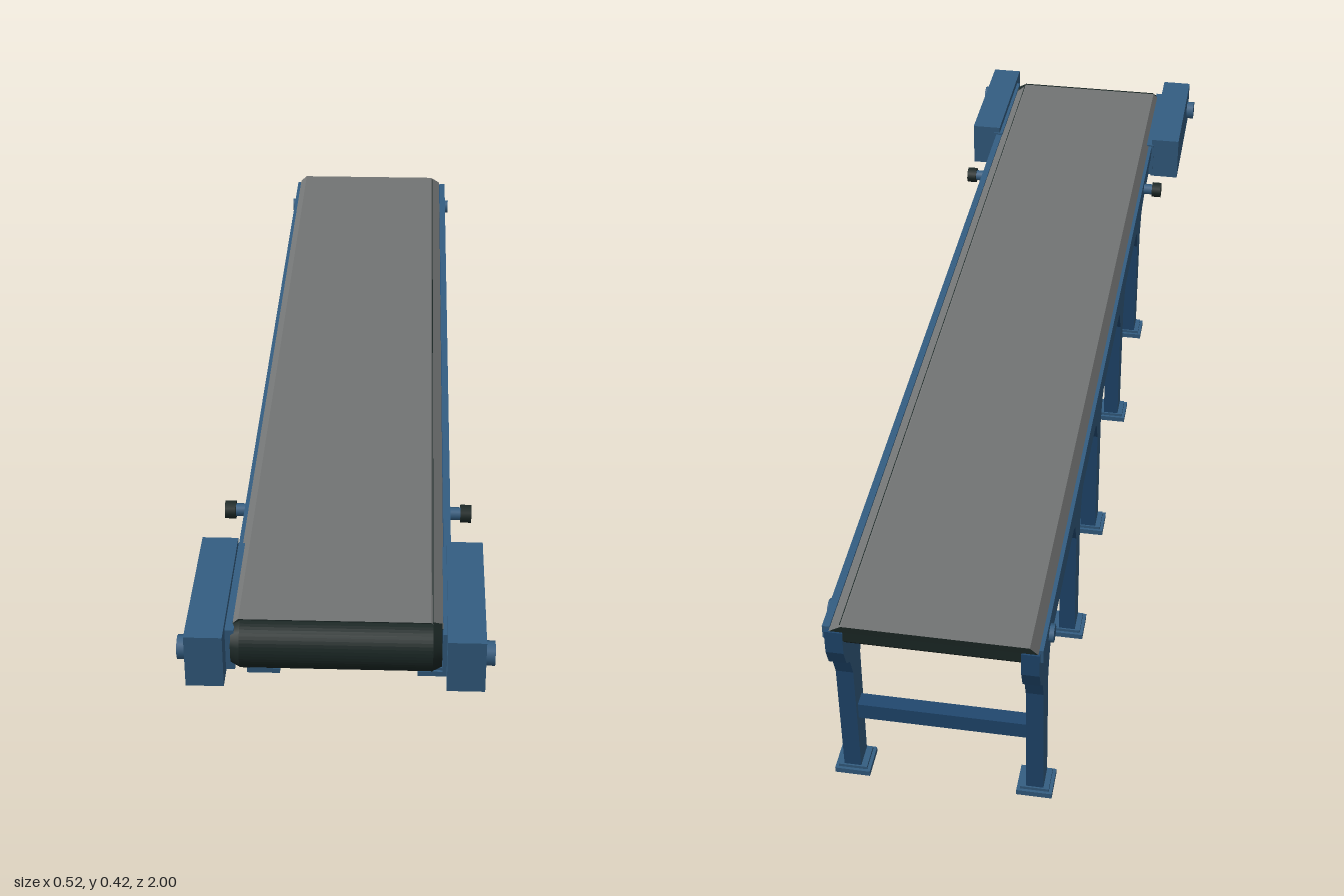
import * as THREE from 'three';

export function createModel() {
  const model = new THREE.Group();
  model.name = 'beltConveyor';
  const material = (name, color) => {
    const m = new THREE.MeshStandardMaterial({ color });
    m.name = name;
    return m;
  };
  const blue = material('paintedSteelBlue', 0x345e82);
  const deepBlue = material('deepSteelBlue', 0x20486f);
  const grey = material('beltGrey', 0x727474);
  const dark = material('rubberDark', 0x1b2725);

  const add = (name, geometry, mat, x = 0, y = 0, z = 0) => {
    const mesh = new THREE.Mesh(geometry, mat);
    mesh.name = name;
    mesh.position.set(x, y, z);
    model.add(mesh);
    return mesh;
  };
  // box given by its lower and upper limits
  const box = (name, mat, x0, x1, y0, y1, z0, z1) => add(name,
    new THREE.BoxGeometry(x1 - x0, y1 - y0, z1 - z0), mat,
    (x0 + x1) / 2, (y0 + y1) / 2, (z0 + z1) / 2);
  // side profile (drawn with -z to the right) swept across x
  const sweep = (name, mat, shape, x0, x1) => {
    const geo = new THREE.ExtrudeGeometry(shape,
      { depth: x1 - x0, bevelEnabled: false, curveSegments: 12 });
    geo.rotateY(Math.PI / 2);
    return add(name, geo, mat, x0, 0, 0);
  };

  const legs = [0.51, 0.18, -0.21, -0.52, -0.925];

  // side frame: rail with flared legs in one profile
  const frame = new THREE.Shape();
  frame.moveTo(-0.93, 0.397);
  frame.lineTo(-0.93, 0.33);
  frame.lineTo(-0.62, 0.323);
  for (const z of legs) {
    const c = -z, last = z < -0.9;
    frame.lineTo(c - 0.064, 0.314);
    frame.lineTo(c - 0.046, 0.302);
    frame.lineTo(c - 0.026, 0.258);
    frame.lineTo(c - 0.022, 0.01);
    frame.lineTo(c + 0.022, 0.01);
    frame.lineTo(c + 0.026, 0.258);
    if (last) {
      frame.lineTo(c + 0.04, 0.298);
      frame.lineTo(0.985, 0.315);
    } else {
      frame.lineTo(c + 0.046, 0.302);
      frame.lineTo(c + 0.064, 0.314);
    }
  }
  frame.lineTo(0.998, 0.35);
  frame.lineTo(0.998, 0.397);
  frame.closePath();

  for (const s of [-1, 1]) {
    const side = s > 0 ? 'left' : 'right';
    const span = (a, b) => (s > 0 ? [a, b] : [-b, -a]);
    sweep(side + 'Frame', [blue, deepBlue], frame, ...span(0.151, 0.182));
    box(side + 'RailLip', blue, ...span(0.174, 0.187), 0.375, 0.402, -0.99, 0.72);

    // drive housing at the front with its bracket and shaft end
    const shift = s > 0 ? -0.008 : 0;
    box(side + 'DriveHousing', blue, ...span(0.187 + shift, 0.25 + shift), 0.322, 0.419, 0.703, 1);
    box(side + 'HousingBracket', blue, ...span(0.172, 0.192), 0.327, 0.406, 0.7, 0.96);
    const shaft = add(side + 'ShaftEnd', new THREE.CylinderGeometry(0.021, 0.021, 0.026, 8),
      blue, s * (0.253 + shift), 0.369, 0.957);
    shaft.rotation.z = Math.PI / 2;

    // tensioner knob on the rail
    const stem = add(side + 'KnobStem', new THREE.CylinderGeometry(0.012, 0.012, 0.03, 8),
      blue, s * 0.195, 0.378, 0.545);
    const knob = add(side + 'Knob', new THREE.CylinderGeometry(0.017, 0.017, 0.02, 10),
      dark, s * 0.216, 0.378, 0.545);
    // bolt at the tail roller
    const bolt = add(side + 'TailBolt', new THREE.CylinderGeometry(0.016, 0.016, 0.014, 8),
      blue, s * 0.188, 0.372, -0.915);
    for (const m of [stem, knob, bolt]) m.rotation.z = Math.PI / 2;

    // stepped feet
    for (const z of legs) {
      box(side + 'Foot', blue, ...span(0.134, 0.198), 0, 0.011, z - 0.03, z + 0.03);
      box(side + 'FootStep', blue, ...span(0.14, 0.192), 0.011, 0.017, z - 0.025, z + 0.025);
    }
  }

  // cross bars between the leg pairs
  for (const z of legs) box('crossBar', deepBlue, -0.155, 0.155, 0.133, 0.166, z - 0.014, z + 0.014);

  // belt loop: full roller at the front, thin bed behind it
  const loop = new THREE.Shape();
  loop.moveTo(-0.937, 0.413);
  loop.absarc(-0.937, 0.369, 0.044, Math.PI / 2, Math.PI * 1.5, false);
  loop.lineTo(-0.91, 0.332);
  loop.lineTo(-0.87, 0.365);
  loop.lineTo(0.985, 0.365);
  loop.lineTo(0.996, 0.378);
  loop.lineTo(0.994, 0.413);
  loop.closePath();
  sweep('beltLoop', dark, loop, -0.163, 0.156);

  // tapered roller shoulders either side of the belt at the front
  for (const [x, dir] of [[-0.17, -1], [0.163, 1]]) {
    const shoulder = add('rollerShoulder',
      new THREE.CylinderGeometry(0.036, 0.044, 0.016, 20), dark, x, 0.369, 0.937);
    shoulder.rotation.z = -dir * Math.PI / 2;
  }

  // carrying surface with sloping edges
  const section = new THREE.Shape();
  section.moveTo(-0.18, 0.402);
  section.lineTo(0.173, 0.402);
  section.lineTo(0.152, 0.4145);
  section.lineTo(-0.166, 0.4145);
  section.closePath();
  add('beltTop', new THREE.ExtrudeGeometry(section, { depth: 1.94, bevelEnabled: false }),
    [dark, grey], 0, 0, -1);

  // worn patches on the underside
  for (let i = 0; i < 18; i++) {
    const patch = add('wornPatch', new THREE.CircleGeometry(0.016 + 0.006 * (i % 3), 7), grey,
      0.075 * Math.sin(i * 2.4), 0.3635, 0.8 - i * 0.095);
    patch.rotation.x = Math.PI / 2;
  }
  return model;
}
